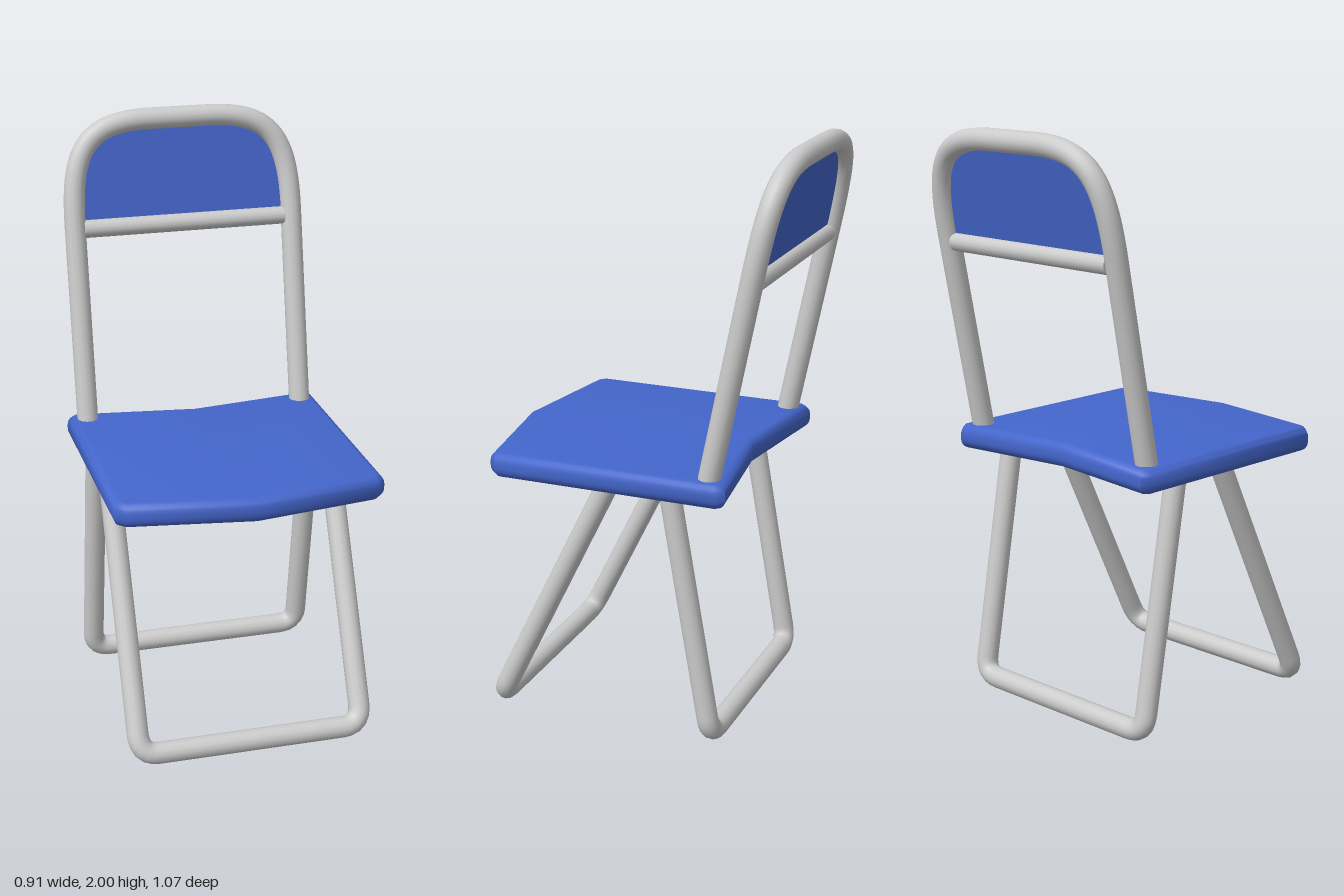
import * as THREE from 'three';
import { toCreasedNormals } from 'three/addons/utils/BufferGeometryUtils.js';

const V = (x, y, z) => new THREE.Vector3(x, y, z);
const TUBE = 0.037; // tube radius
const HALF = 0.39; // half width between tube centres
const backZ = (y) => -0.297 - 0.203 * (y - 0.95); // lean of the backrest

// Upper outline of the backrest, left shoulder to right shoulder
const ARCH = { side: 1.62, top: 1.963, flat: 0.1, c1: 1.88, c2: 0.33 };

function tube(name, curves, segments, material) {
  const path = new THREE.CurvePath();
  curves.forEach((c) => path.add(c));
  const mesh = new THREE.Mesh(new THREE.TubeGeometry(path, segments, TUBE, 14), material);
  mesh.name = name;
  return mesh;
}

// U-shaped leg loop: two slanted legs joined by a floor bar
function legLoop(name, topZ, footZ, material) {
  const top = 0.91, foot = TUBE, r = 0.065;
  const z = (y) => footZ + (topZ - footZ) * (y - foot) / (top - foot);
  const p = (x, y) => V(x, y, z(y));
  const corner = (s) => [p(s * HALF, foot + r), p(s * HALF, foot), p(s * (HALF - r), foot)];
  const [a, b, c] = corner(1), [d, e, f] = corner(-1);
  return tube(name, [
    new THREE.LineCurve3(p(HALF, top), a),
    new THREE.QuadraticBezierCurve3(a, b, c),
    new THREE.LineCurve3(c, f),
    new THREE.QuadraticBezierCurve3(f, e, d),
    new THREE.LineCurve3(d, p(-HALF, top)),
  ], 140, material);
}

export function createModel() {
  const grey = new THREE.MeshStandardMaterial({ color: 0xcccccc, side: THREE.DoubleSide });
  const blue = new THREE.MeshStandardMaterial({ color: 0x4466cc, side: THREE.DoubleSide });
  const chair = new THREE.Group();
  chair.name = 'foldingChair';

  // Seat: rounded slab, pointed at the front and notched at the back
  const right = [[0, 0.535], [0.425, 0.47], [0.455, 0.44], [0.455, -0.34], [0.43, -0.367], [0, -0.31]];
  const left = right.slice(1, -1).reverse().map(([x, z]) => [-x, z]);
  const seatShape = new THREE.Shape([...right, ...left].map(([x, z]) => new THREE.Vector2(x, -z)));
  const seatGeo = new THREE.ExtrudeGeometry(seatShape, {
    depth: 0.015, bevelThickness: 0.035, bevelSize: 0.03, bevelOffset: -0.03, bevelSegments: 5,
  });
  seatGeo.rotateX(-Math.PI / 2).translate(0, 0.905, 0);
  const seat = new THREE.Mesh(toCreasedNormals(seatGeo, 0.9), blue);
  seat.name = 'seat';
  chair.add(seat);

  // Backrest frame: two uprights joined by an arch
  const q = (x, y) => V(x, y, backZ(y));
  const shoulder = (s) => [
    q(s * HALF, ARCH.side), q(s * HALF, ARCH.c1), q(s * ARCH.c2, ARCH.top), q(s * ARCH.flat, ARCH.top),
  ];
  const L = shoulder(1), R = shoulder(-1);
  chair.add(tube('backFrame', [
    new THREE.LineCurve3(q(HALF, 0.92), L[0]),
    new THREE.CubicBezierCurve3(...L),
    new THREE.LineCurve3(L[3], R[3]),
    new THREE.CubicBezierCurve3(...[...R].reverse()),
    new THREE.LineCurve3(R[0], q(-HALF, 0.92)),
  ], 120, grey));

  // Thin back panel filling the arch
  const panelShape = new THREE.Shape();
  panelShape.moveTo(-HALF, 1.605);
  panelShape.lineTo(HALF, 1.605);
  panelShape.lineTo(HALF, ARCH.side);
  panelShape.bezierCurveTo(HALF, ARCH.c1, ARCH.c2, ARCH.top, ARCH.flat, ARCH.top);
  panelShape.lineTo(-ARCH.flat, ARCH.top);
  panelShape.bezierCurveTo(-ARCH.c2, ARCH.top, -HALF, ARCH.c1, -HALF, ARCH.side);
  const panelGeo = new THREE.ShapeGeometry(panelShape, 16);
  const pos = panelGeo.attributes.position;
  for (let i = 0; i < pos.count; i++) pos.setZ(i, backZ(pos.getY(i)));
  panelGeo.computeVertexNormals();
  const panel = new THREE.Mesh(panelGeo, blue);
  panel.name = 'backPanel';
  chair.add(panel);

  // Crossbar under the panel
  const bar = new THREE.Mesh(new THREE.CylinderGeometry(0.031, 0.031, 0.72, 14), grey);
  bar.rotation.z = Math.PI / 2;
  bar.position.set(0, 1.605, backZ(1.605));
  bar.name = 'backCrossbar';
  chair.add(bar);

  // Leg loops
  chair.add(legLoop('frontLegs', 0.045, 0.473, grey));
  chair.add(legLoop('rearLegs', -0.157, -0.307, grey));
  return chair;
}
